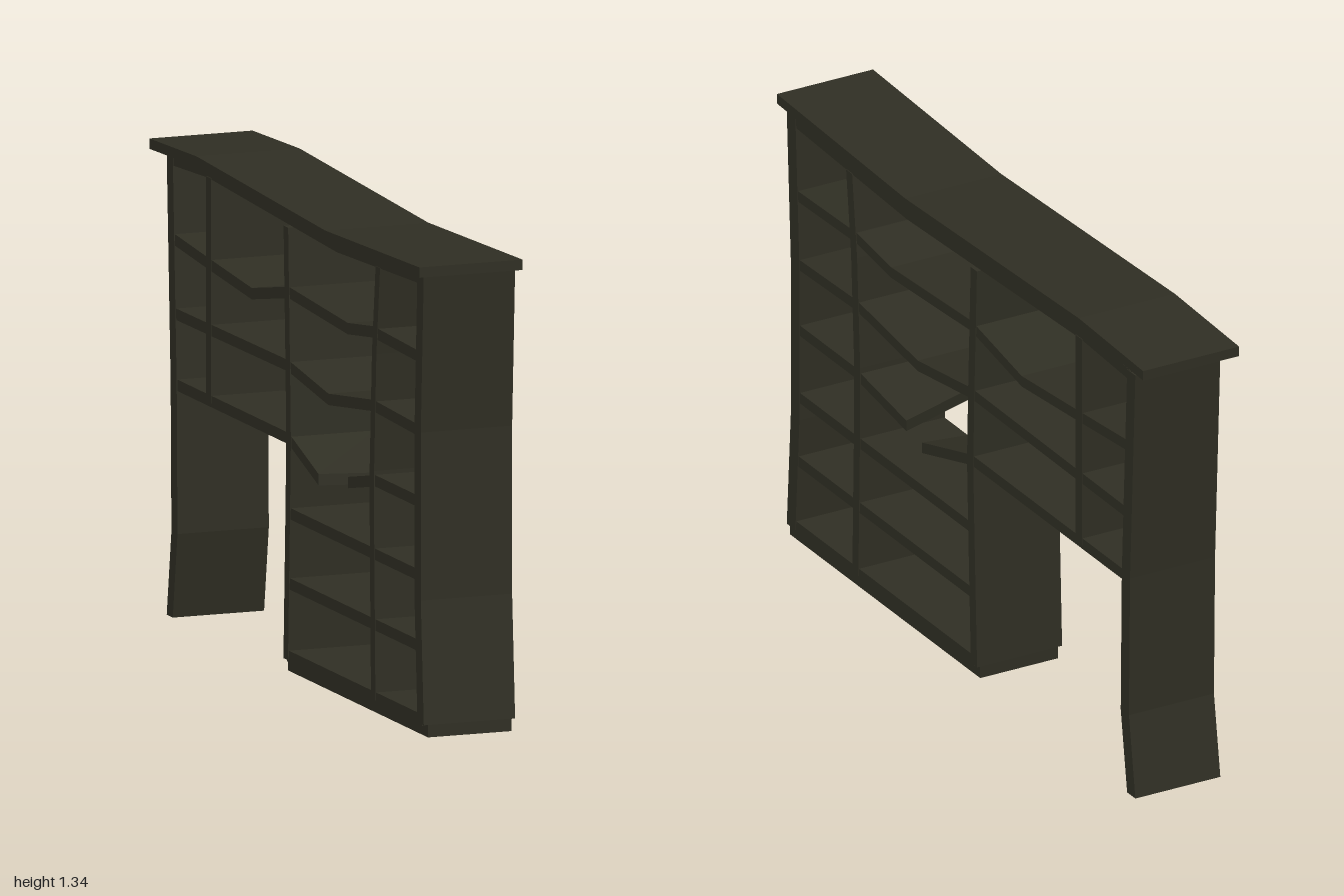
import * as THREE from 'three';

const wood = new THREE.MeshStandardMaterial({ color: 0x302f24 });
wood.name = 'dark wood';

// Bent board: a polyline of [z, y] points given thickness in y (shelf) or z (upright), run from x0 to x1
function board(name, points, thickness, upright, x0, x1) {
  const h = thickness / 2;
  const dz = upright ? h : 0, dy = upright ? 0 : h;
  const outline = [
    ...points.map(([z, y]) => new THREE.Vector2(-z - dz, y - dy)),
    ...points.slice().reverse().map(([z, y]) => new THREE.Vector2(-z + dz, y + dy)),
  ];
  const geometry = new THREE.ExtrudeGeometry(new THREE.Shape(outline), { depth: x1 - x0, bevelEnabled: false });
  geometry.rotateY(Math.PI / 2).translate(x0, 0, 0);
  const mesh = new THREE.Mesh(geometry, wood);
  mesh.name = name;
  return mesh;
}

// Snapped shelf half: a box whose root and tip ends are moved; the tip is cut askew and twisted
function brokenShelf(name, root, nearTip, farTip) {
  const geometry = new THREE.BoxGeometry(0.266, 0.032, 1).toNonIndexed();
  const pos = geometry.attributes.position;
  const rootIsFront = root[0] > nearTip[0];
  for (let i = 0; i < pos.count; i++) {
    const atRoot = (pos.getZ(i) > 0) === rootIsFront;
    const [z, y] = atRoot ? root : pos.getX(i) > 0 ? nearTip : farTip;
    pos.setXYZ(i, pos.getX(i) + 0.015, pos.getY(i) + y, z);
  }
  geometry.computeVertexNormals();
  const mesh = new THREE.Mesh(geometry, wood);
  mesh.name = name;
  return mesh;
}

export function createModel() {
  const model = new THREE.Group();
  model.name = 'crookedBookcase';
  const back = -0.12, front = 0.15, inset = 0.002;

  // Sagging top slab and the rail beneath it
  model.add(board('topSlab', [[1, 1.313], [0.3, 1.29], [-0.65, 1.325], [-1, 1.312]], 0.029, false, -0.153, 0.152));
  model.add(board('topRail', [[0.93, 1.281], [0.3, 1.257], [-0.65, 1.293], [-0.93, 1.279]], 0.032, false, back + inset, front - inset));

  // Bowed uprights and dividers
  const uprights = [
    ['frontEndPanel', 0.047, [[0.926, 1.295], [0.904, 0.85], [0.904, 0.38], [0.926, 0.035]]],
    ['backEndPanel', 0.045, [[-0.932, 1.293], [-0.903, 0.66], [-0.897, 0.24], [-0.932, 0]]],
    ['frontDivider', 0.033, [[0.609, 1.255], [0.582, 1.01], [0.565, 0.68], [0.566, 0.48], [0.575, 0.04]]],
    ['middleDivider', 0.034, [[-0.072, 1.245], [-0.058, 0.86], [-0.052, 0.65], [-0.058, 0.45], [-0.073, 0.035]]],
    ['upperDivider', 0.034, [[-0.645, 1.28], [-0.645, 0.65]]],
  ];
  for (const [name, thickness, points] of uprights) model.add(board(name, points, thickness, true, back, front));

  // Warped and straight shelves
  const shelves = [
    ['upperShelf', [[0.9, 1.059], [0.57, 1.067], [0.382, 1.042], [-0.056, 1.064], [-0.33, 1.011], [-0.65, 1.037], [-0.905, 1.059]]],
    ['secondShelf', [[0.9, 0.852], [0.57, 0.861], [0.238, 0.818], [-0.056, 0.858], [-0.9, 0.852]]],
    ['thirdShelfFront', [[0.9, 0.653], [0.57, 0.653]]],
    ['thirdShelfBack', [[-0.048, 0.655], [-0.9, 0.655]]],
    ['fourthShelf', [[0.9, 0.447], [-0.058, 0.447]]],
    ['fifthShelf', [[0.9, 0.25], [-0.062, 0.25]]],
    ['bottomShelf', [[0.93, 0.046], [-0.07, 0.046]]],
  ];
  for (const [name, points] of shelves) model.add(board(name, points, 0.032, false, back + inset, front - inset));

  // Shelf snapped in two
  model.add(brokenShelf('brokenShelfFront', [0.57, 0.65], [0.3, 0.608], [0.385, 0.612]));
  model.add(brokenShelf('brokenShelfBack', [-0.05, 0.653], [0.215, 0.577], [0.165, 0.58]));

  // Inset plinth
  model.add(board('plinth', [[0.948, 0.0175], [-0.09, 0.0175]], 0.035, false, -0.107, 0.14));

  return model;
}
